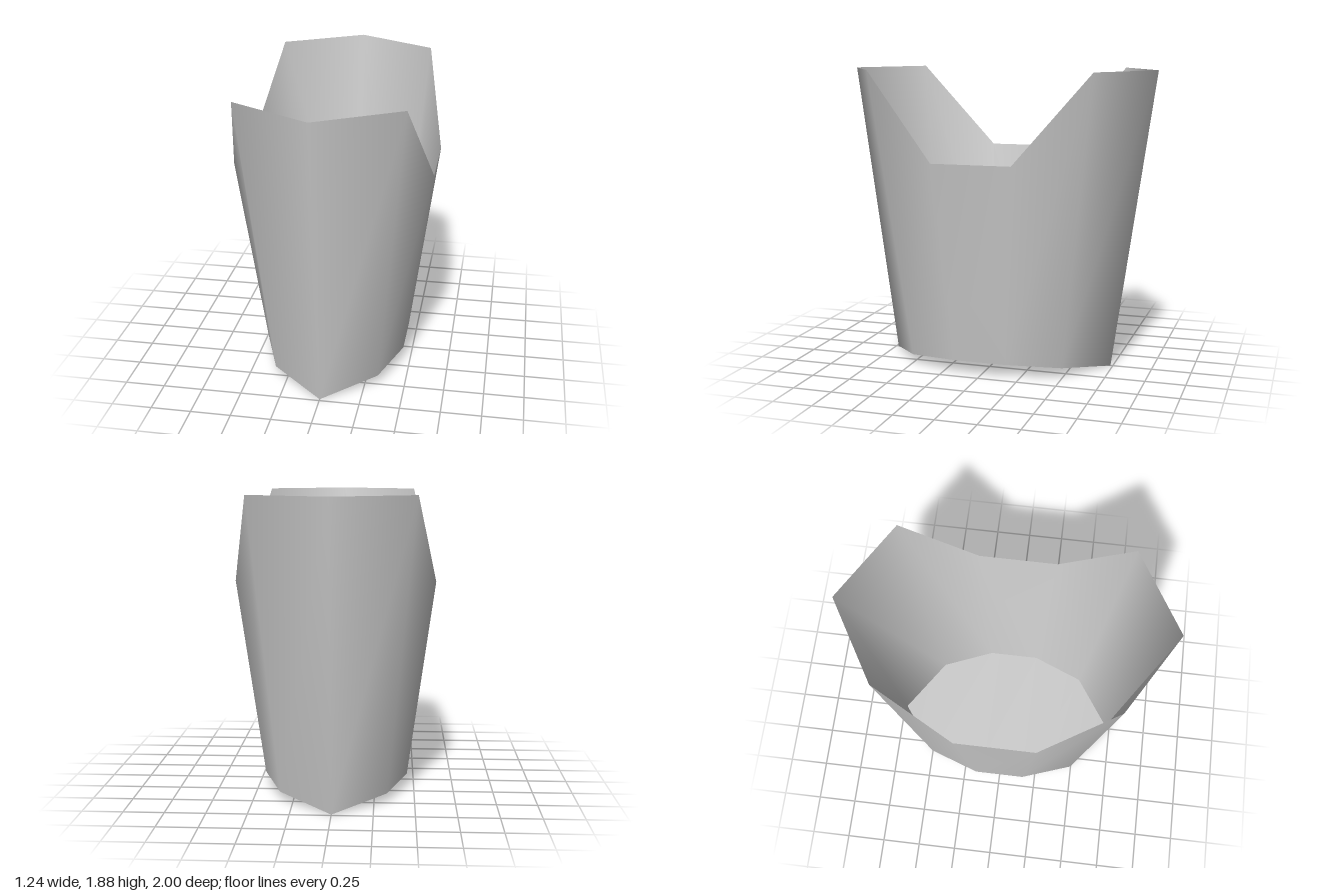
import * as THREE from 'three';

// Half of each ten-sided ring, from front tip to back tip: [x, y, z]
const rimHalf = [[0, 1.885, 1], [0.497, 1.885, 0.706], [0.622, 1.342, 0.25]];
const baseHalf = [[0, 0, 0.735], [0.331, 0.06, 0.495], [0.455, 0.088, 0.165]];

// Mirror the quarter profile into a closed ring running front, left, back, right
function ring(quarter) {
  const back = quarter.map(([x, y, z]) => [x, y, -z]).reverse();
  const side = [...quarter, ...back];
  const mirrored = side.slice(1, -1).reverse().map(([x, y, z]) => [-x, y, z]);
  return [...side, ...mirrored];
}

function surface(points, index) {
  const geometry = new THREE.BufferGeometry();
  geometry.setAttribute('position', new THREE.Float32BufferAttribute(points.flat(), 3));
  geometry.setIndex(index);
  geometry.computeVertexNormals();
  return geometry;
}

export function createModel() {
  const group = new THREE.Group();
  group.name = 'taperedOpenCup';
  const grey = new THREE.MeshStandardMaterial({ color: 0xcccccc, side: THREE.DoubleSide });
  grey.name = 'light grey';

  const base = ring(baseHalf);
  const rim = ring(rimHalf);
  const n = base.length;

  // Smooth flaring wall with a rim that dips at both sides
  const wallIndex = [];
  for (let i = 0; i < n; i++) {
    const j = (i + 1) % n;
    wallIndex.push(i, j, n + j, i, n + j, n + i);
  }
  const wall = new THREE.Mesh(surface([...base, ...rim], wallIndex), grey);
  wall.name = 'wall';

  // Gently arched floor made of strips across the width
  const floorIndex = [];
  for (let i = 0; i < n / 2; i++) {
    const a = i, b = i + 1, c = n - i - 1, d = (n - i) % n;
    if (b !== c) floorIndex.push(a, c, b);
    if (a !== d) floorIndex.push(a, d, c);
  }
  const floor = new THREE.Mesh(surface(base, floorIndex), grey);
  floor.name = 'floor';

  group.add(wall, floor);
  return group;
}
